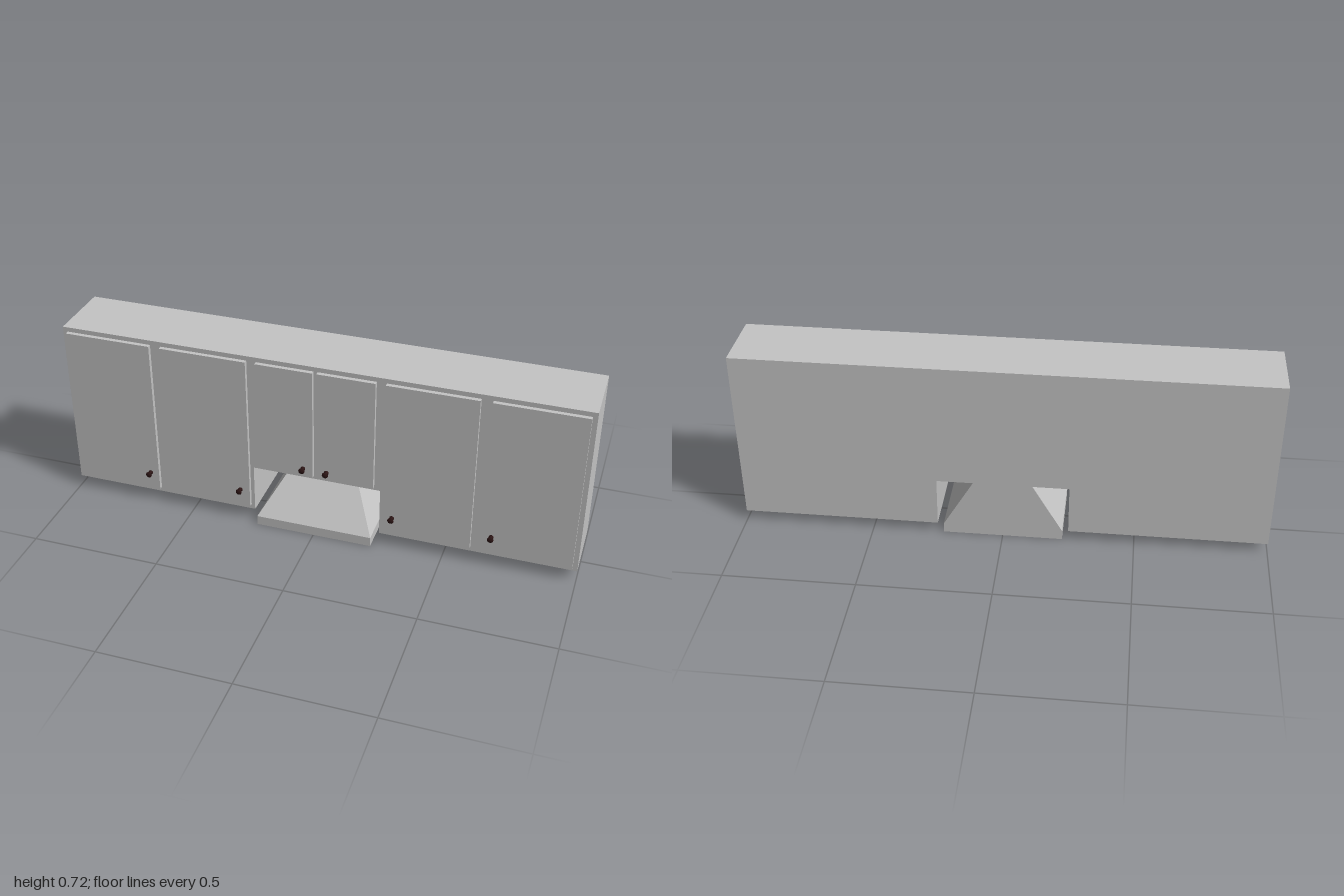
import * as THREE from 'three';

const grey = new THREE.MeshStandardMaterial({ color: 0xc4c4c4 });
grey.name = 'cabinet grey';
const darkBrown = new THREE.MeshStandardMaterial({ color: 0x2e1616 });
darkBrown.name = 'knob dark brown';

const BACK = -0.15, FRONT = 0.113, DOOR_FRONT = 0.129, HOOD_FRONT = 0.152;

function add(parent, name, geometry, material) {
  const mesh = new THREE.Mesh(geometry, material);
  mesh.name = name;
  parent.add(mesh);
  return mesh;
}

// Box given by its limits on each axis
function boxBetween(x0, x1, y0, y1, z0, z1) {
  return new THREE.BoxGeometry(x1 - x0, y1 - y0, z1 - z0)
    .translate((x0 + x1) / 2, (y0 + y1) / 2, (z0 + z1) / 2);
}

function shapeFrom(points) {
  return new THREE.Shape(points.map(([x, y]) => new THREE.Vector2(x, y)));
}

export function createModel() {
  const model = new THREE.Group();
  model.name = 'wallCabinets';

  // Cabinet body with a notch above the hood
  const outline = shapeFrom([
    [-1, 0.04], [-0.25, 0.04], [-0.25, 0.235], [0.25, 0.235],
    [0.25, 0.04], [1, 0.04], [1, 0.718], [-1, 0.718],
  ]);
  add(model, 'cabinetBody', new THREE.ExtrudeGeometry(outline, {
    depth: FRONT - BACK, bevelEnabled: false,
  }).translate(0, 0, BACK), grey);

  // Doors and knobs, mirrored left and right
  const knobProfile = [
    [0, 0], [0.009, 0], [0.009, 0.002], [0.005, 0.005], [0.0045, 0.012],
    [0.006, 0.016], [0.012, 0.018], [0.012, 0.02], [0.008, 0.0225], [0, 0.0235],
  ].map(([r, y]) => new THREE.Vector2(r, y));
  const knobGeometry = new THREE.LatheGeometry(knobProfile, 16).rotateX(Math.PI / 2);
  const doors = [
    { x0: 0.008, x1: 0.227, y0: 0.25, knob: [0.046, 0.284] },
    { x0: 0.264, x1: 0.602, y0: 0.06, knob: [0.302, 0.133] },
    { x0: 0.644, x1: 0.982, y0: 0.06, knob: [0.679, 0.133] },
  ];
  for (const side of [1, -1]) {
    for (const { x0, x1, y0, knob } of doors) {
      const [a, b] = side > 0 ? [x0, x1] : [-x1, -x0];
      add(model, 'door', boxBetween(a, b, y0, 0.7, FRONT, DOOR_FRONT), grey);
      add(model, 'knob', knobGeometry, darkBrown)
        .position.set(side * knob[0], knob[1], DOOR_FRONT);
    }
  }

  // Range hood
  const hood = new THREE.Group();
  hood.name = 'rangeHood';
  model.add(hood);
  const half = 0.227, rimTop = 0.038, rim = 0.02, recess = 0.008;

  // Rim frame around a shallow recess underneath
  const rimShape = shapeFrom([[-half, -HOOD_FRONT], [half, -HOOD_FRONT], [half, -BACK], [-half, -BACK]]);
  rimShape.holes.push(shapeFrom([
    [-half + rim, -HOOD_FRONT + rim], [-half + rim, -BACK - rim],
    [half - rim, -BACK - rim], [half - rim, -HOOD_FRONT + rim],
  ]));
  add(hood, 'hoodRim', new THREE.ExtrudeGeometry(rimShape, {
    depth: rimTop, bevelEnabled: false,
  }).rotateX(-Math.PI / 2), grey);
  add(hood, 'hoodUnderside', boxBetween(
    -half + rim, half - rim, recess, rimTop, BACK + rim, HOOD_FRONT - rim), grey);

  // Tapered canopy: a box whose top is narrowed and sloped back
  const canopy = boxBetween(-half, half, rimTop, 0.235, BACK, HOOD_FRONT).toNonIndexed();
  const p = canopy.attributes.position;
  for (let i = 0; i < p.count; i++) {
    if (p.getY(i) < 0.1) continue;
    p.setX(i, Math.sign(p.getX(i)) * 0.112);
    if (p.getZ(i) > 0) p.setZ(i, -0.013);
  }
  canopy.computeVertexNormals();
  add(hood, 'hoodCanopy', canopy, grey);

  return model;
}
